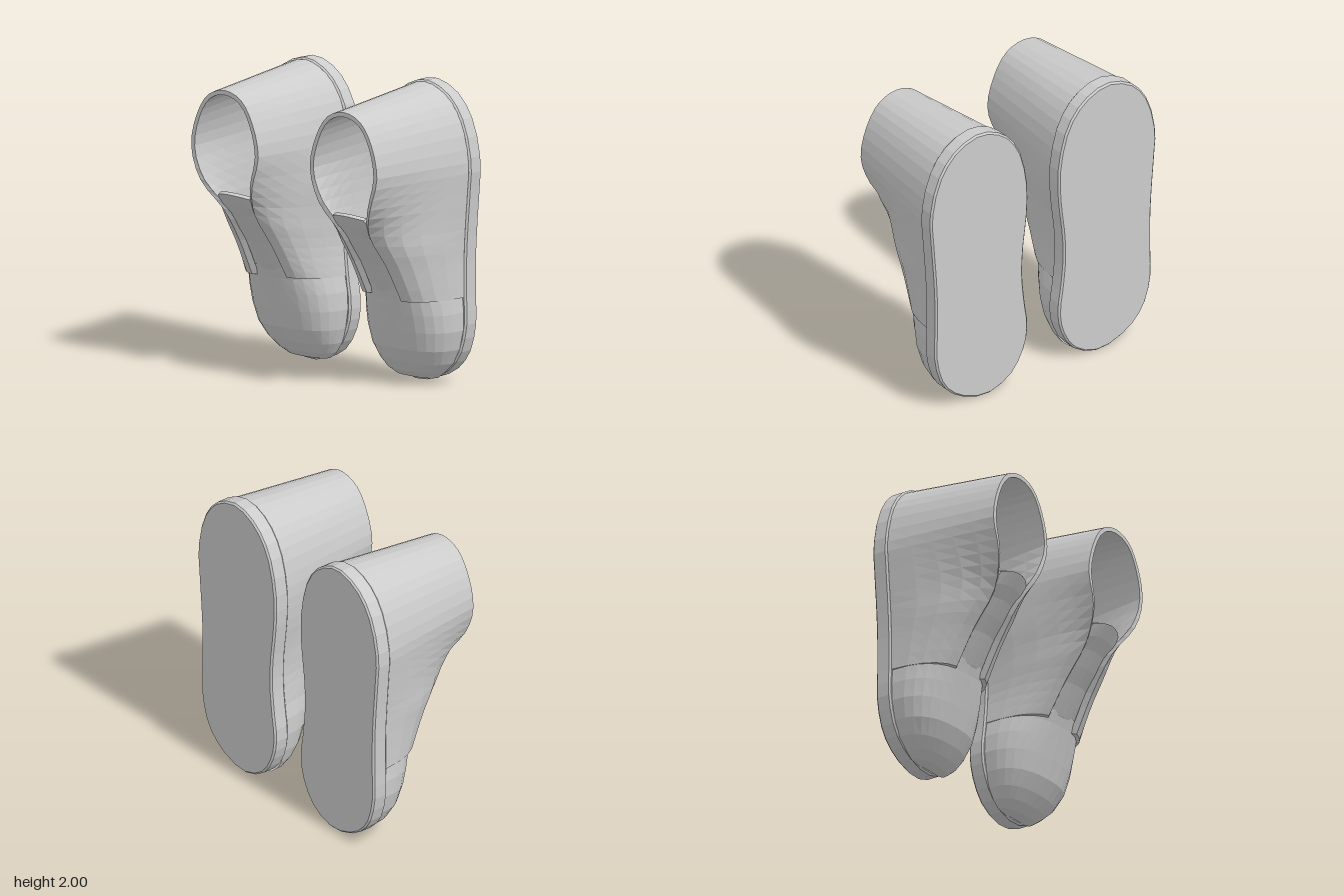
import * as THREE from 'three';

const grey = new THREE.MeshStandardMaterial({ color: 0xcccccc, flatShading: true, side: THREE.DoubleSide });
const SOLE_TOP = -0.34, CX = -0.52;

// Sole outline of one shoe: around the heel, then around the toe
const heel = [[-.88, .6], [-.88, .85], [-.89, 1.05], [-.91, 1.3], [-.92, 1.5], [-.85, 1.77], [-.72, 1.93], [-.52, 2],
  [-.33, 1.93], [-.2, 1.77], [-.13, 1.5], [-.13, 1.25], [-.16, 1], [-.168, .8], [-.15, .6]];
const toe = [[-.125, .4], [-.155, .24], [-.26, .08], [-.46, 0], [-.69, .07], [-.82, .2], [-.88, .4]];

// Top edge of the quarters: up one lace edge, round the ankle opening, down the other
const rim = [[-.65, .6, .035], [-.64, .85, .17], [-.635, 1.08, .33], [-.74, 1.28, .44], [-.81, 1.5, .45],
  [-.76, 1.72, .45], [-.66, 1.86, .45], [-.52, 1.905, .45], [-.38, 1.86, .45], [-.28, 1.72, .45],
  [-.225, 1.5, .45], [-.29, 1.28, .44], [-.365, 1.08, .33], [-.36, .85, .17], [-.35, .62, .035]];

const curve = (pts, closed = false) =>
  new THREE.CatmullRomCurve3(pts.map(([x, y, z = SOLE_TOP]) => new THREE.Vector3(x, y, z)), closed);

// Surface through rows of points; side = -1 mirrors it in x
function loft(rows, side, name) {
  const n = rows[0].length, index = [];
  for (let r = 0; r < rows.length - 1; r++) {
    for (let c = 0; c < n - 1; c++) {
      const a = r * n + c, b = a + 1, d = a + n, e = d + 1;
      index.push(...(side > 0 ? [a, b, d, b, e, d] : [a, d, b, b, d, e]));
    }
  }
  const geo = new THREE.BufferGeometry();
  const flat = rows.flat().flatMap(p => [p.x * side, p.y, p.z]);
  geo.setAttribute('position', new THREE.Float32BufferAttribute(flat, 3));
  geo.setIndex(index);
  geo.computeVertexNormals();
  const mesh = new THREE.Mesh(geo, grey);
  mesh.name = name;
  return mesh;
}

// Flat slab with a softly rounded edge
function makeSole(side) {
  const bevel = 0.012;
  const pts = curve([...heel, ...toe], true).getPoints(48).slice(0, -1);
  const shape = new THREE.Shape(pts.map(p => new THREE.Vector2(p.x * side, p.y)));
  const geo = new THREE.ExtrudeGeometry(shape, {
    depth: 0.115 - 2 * bevel, bevelEnabled: true, bevelSize: bevel, bevelOffset: -bevel,
    bevelThickness: bevel, bevelSegments: 1,
  });
  geo.translate(0, 0, -0.45 + bevel);
  const mesh = new THREE.Mesh(geo, grey);
  mesh.name = 'sole';
  return mesh;
}

// Thick wall from the sole edge to the ankle opening, open along the laces
function makeQuarters(side) {
  const bottom = curve(heel), top = curve(rim), N = 42, M = 5, rows = [];
  const inward = p => {
    const dir = new THREE.Vector3(CX - p.x, Math.min(0, 1.5 - p.y), 0).normalize();
    return p.clone().addScaledVector(dir, 0.03);
  };
  for (let i = 0; i <= N; i++) {
    const b = inward(bottom.getPoint(i / N)).lerp(bottom.getPoint(i / N), 0.6);
    const t = top.getPoint(i / N);
    const bulge = 0.8 * THREE.MathUtils.clamp((1.45 - b.y) / 0.5, 0, 1);
    const mid = b.clone().lerp(t, 0.5).lerp(new THREE.Vector3(b.x, (b.y + t.y) / 2, t.z), bulge);
    const outer = new THREE.QuadraticBezierCurve3(b, mid, t).getPoints(M);
    const inner = outer.map(p => {
      const q = inward(p);
      q.z = Math.max(SOLE_TOP, q.z - 0.04 * bulge);
      return q;
    });
    const back = [...inner].reverse();
    const closing = [...inner, ...back];
    if (i === 0) rows.push(closing);
    rows.push([...outer, ...back]);
    if (i === N) rows.push(closing);
  }
  return loft(rows, side, 'quarters');
}

// Domed toe cap from arched sections: y, left, right, height of the crown
function makeToeCap(side) {
  const sections = [[.02, -.56, -.38, -.33], [.035, -.64, -.3, -.26], [.08, -.7, -.245, -.2], [.15, -.775, -.2, -.145],
    [.25, -.83, -.165, -.085], [.38, -.862, -.145, -.045], [.5, -.865, -.15, -.01], [.6, -.855, -.17, .02],
    [.68, -.83, -.19, .05]];
  const rows = sections.map(([y, l, r, z]) => Array.from({ length: 15 }, (_, i) => {
    const a = Math.PI * (1 - i / 14), c = Math.cos(a), s = Math.max(0, Math.sin(a));
    const u = Math.sign(c) * Math.abs(c) ** 0.8;
    return new THREE.Vector3((l + r) / 2 + u * (r - l) / 2, y, SOLE_TOP + (z - SOLE_TOP) * s ** 0.75);
  }));
  return loft(rows, side, 'toeCap');
}

// Curved tongue tucked under both lace edges
function makeTongue(side) {
  const spine = [[.58, -.02], [.66, .045], [.75, .1], [.85, .16], [.95, .235], [1.05, .305], [1.13, .37], [1.21, .43]];
  const rows = spine.map(([y, z], k) => {
    const w = k === spine.length - 1 ? 0.135 : 0.155;
    const face = Array.from({ length: 7 }, (_, i) => {
      const u = i / 3 - 1;
      return new THREE.Vector3(-.5 + u * w, y - (k > 5 ? .02 * u * u : 0), z - 0.045 * u * u);
    });
    const under = face.map(p => p.clone().add(new THREE.Vector3(0, .012, -.03))).reverse();
    return [...face, ...under, face[0].clone()];
  });
  // Close the top end
  const last = rows[rows.length - 1];
  rows.push(last.map((p, i) => last[i < 7 ? 13 - i : Math.min(i, 13)].clone()));
  return loft(rows, side, 'tongue');
}

export function createModel() {
  const model = new THREE.Group();
  model.name = 'pairOfShoes';
  for (const side of [1, -1]) {
    const shoe = new THREE.Group();
    shoe.name = side > 0 ? 'rightShoe' : 'leftShoe';
    shoe.add(makeSole(side), makeQuarters(side), makeToeCap(side), makeTongue(side));
    model.add(shoe);
  }
  return model;
}
